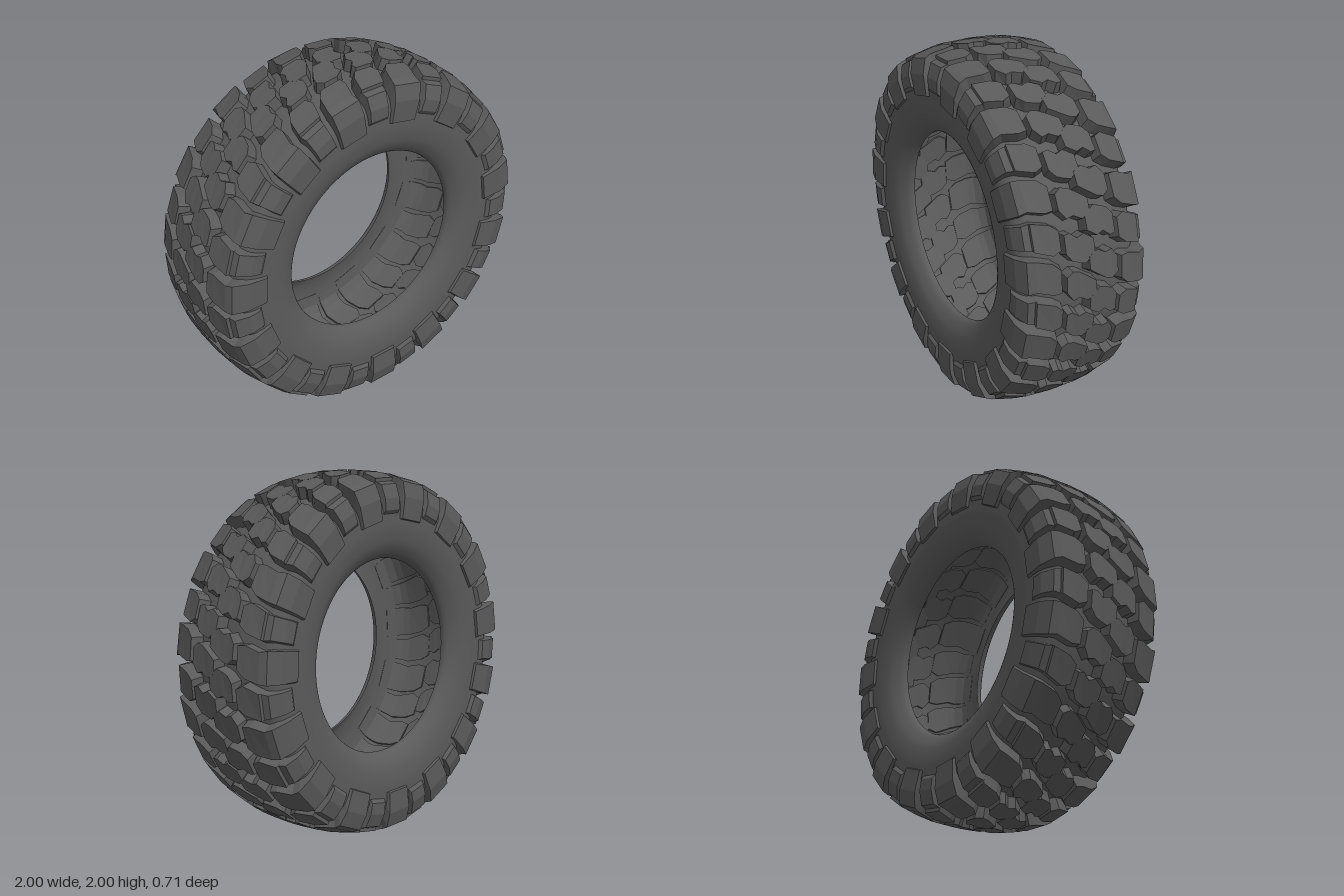
import * as THREE from 'three';
import { mergeGeometries } from 'three/addons/utils/BufferGeometryUtils.js';

const COUNT = 30;
const PITCH = (Math.PI * 2) / COUNT;

// Half profiles as [z, radius], running from the crown over the shoulder and down the sidewall
const BASE = [[0, 0.935], [0.14, 0.928], [0.255, 0.9], [0.305, 0.87], [0.333, 0.82], [0.338, 0.74]];
const OUTER = [[0, 1], [0.15, 0.993], [0.28, 0.968], [0.335, 0.942], [0.357, 0.86], [0.352, 0.74]];
const SIDEWALL = [[0.336, 0.68], [0.322, 0.61], [0.295, 0.56], [0.27, 0.535], [0.245, 0.53]];

function sample(profile, t) {
  const s = Math.abs(t);
  const i = Math.min(Math.floor(s), profile.length - 2);
  const [a, b] = [profile[i], profile[i + 1]];
  const f = s - i;
  return [(a[0] + (b[0] - a[0]) * f) * (t < 0 ? -1 : 1), a[1] + (b[1] - a[1]) * f];
}

// Point at profile position t, height h (0 = carcass, 1 = lug top) and angle
function point(t, h, angle) {
  const b = sample(BASE, t);
  const o = sample(OUTER, t);
  const z = b[0] + (o[0] - b[0]) * h;
  const r = b[1] + (o[1] - b[1]) * h;
  return [r * Math.cos(angle), r * Math.sin(angle), z];
}

// Lug lofted across sections [t, start angle, end angle, height]; its sides flare towards the base
function lug(angle, sections) {
  const last = sections.length - 1;
  const rings = sections.map(([t, a0, a1, h = 1], i) => {
    const tb = t + (i === 0 ? -0.08 : i === last ? 0.08 : 0);
    const low = Math.min(tb, 5);
    return [
      point(low, -0.2, angle + a0 - 0.012),
      point(t, h, angle + a0),
      point(t, h, angle + a1),
      point(low, -0.2, angle + a1 + 0.012),
    ];
  });
  const out = [];
  const quad = (a, b, c, d) => out.push(...a, ...b, ...c, ...a, ...c, ...d);
  for (let i = 0; i < last; i++) {
    const p = rings[i], q = rings[i + 1];
    for (let k = 0; k < 4; k++) {
      const n = (k + 1) % 4;
      quad(p[k], p[n], q[n], q[k]);
    }
  }
  quad(...[...rings[0]].reverse());
  quad(...rings[last]);
  const geometry = new THREE.BufferGeometry();
  geometry.setAttribute('position', new THREE.Float32BufferAttribute(out, 3));
  geometry.computeVertexNormals();
  return geometry;
}

// Interlocking crown blocks, alternately notched on opposite flanks
const CENTRE_LUGS = [
  [[-0.12, -0.05, 0.02], [0.2, -0.075, 0.055], [0.5, -0.05, 0.085], [0.75, -0.06, 0.095], [0.98, -0.01, 0.07]],
  [[-0.1, -0.04, 0.03], [0.25, -0.085, 0.065], [0.5, -0.075, 0.05], [0.75, -0.06, 0.08], [0.95, -0.02, 0.075]],
];

// Shoulder lugs: slanted on the tread, radial on the sidewall, alternately wide and narrow
const SHOULDER_LUGS = [
  [[1.18, -0.1, 0.02], [1.5, -0.105, 0.06], [2.3, -0.08, 0.085], [3, -0.09, 0.09], [4, -0.095, 0.095], [4.97, -0.1, 0.1]],
  [[1.12, -0.09, 0.01], [1.45, -0.11, 0.045], [2.3, -0.075, 0.07], [2.4, -0.07, 0.07, 0.75],
    [3, -0.064, 0.064, 0.8], [4, -0.066, 0.066, 0.85], [4.55, -0.068, 0.068, 0.9]],
];

function lugRing(patterns, offset) {
  const parts = [];
  for (let i = 0; i < COUNT; i++) parts.push(lug(i * PITCH + offset, patterns[i % patterns.length]));
  return mergeGeometries(parts);
}

export function createModel() {
  const model = new THREE.Group();
  model.name = 'tyre';
  const color = 0x5a5a5a;
  const rubber = new THREE.MeshStandardMaterial({ color, side: THREE.DoubleSide });
  const lugRubber = new THREE.MeshStandardMaterial({ color, flatShading: true });

  // Hollow carcass, open at the beads
  const half = [...BASE, ...SIDEWALL];
  const profile = [...half.slice(1).reverse().map(([z, r]) => [-z, r]), ...half];
  const curve = new THREE.SplineCurve(profile.map(([z, r]) => new THREE.Vector2(r, z)));
  const carcassGeometry = new THREE.LatheGeometry(curve.getPoints(80), 120);
  carcassGeometry.rotateX(Math.PI / 2);
  const carcass = new THREE.Mesh(carcassGeometry, rubber);
  carcass.name = 'carcass';
  carcass.position.y = 1;
  model.add(carcass);

  // Tread halves, the second turned half round so the rows interlock
  const centre = lugRing(CENTRE_LUGS, PITCH / 4);
  const shoulder = lugRing(SHOULDER_LUGS, PITCH * 0.7);
  for (const [name, turn] of [['frontTread', 0], ['backTread', Math.PI]]) {
    const tread = new THREE.Group();
    tread.name = name;
    for (const [part, geometry] of [['centreLugs', centre], ['shoulderLugs', shoulder]]) {
      const mesh = new THREE.Mesh(geometry, lugRubber);
      mesh.name = part;
      tread.add(mesh);
    }
    tread.rotation.y = turn;
    tread.position.y = 1;
    model.add(tread);
  }
  return model;
}
